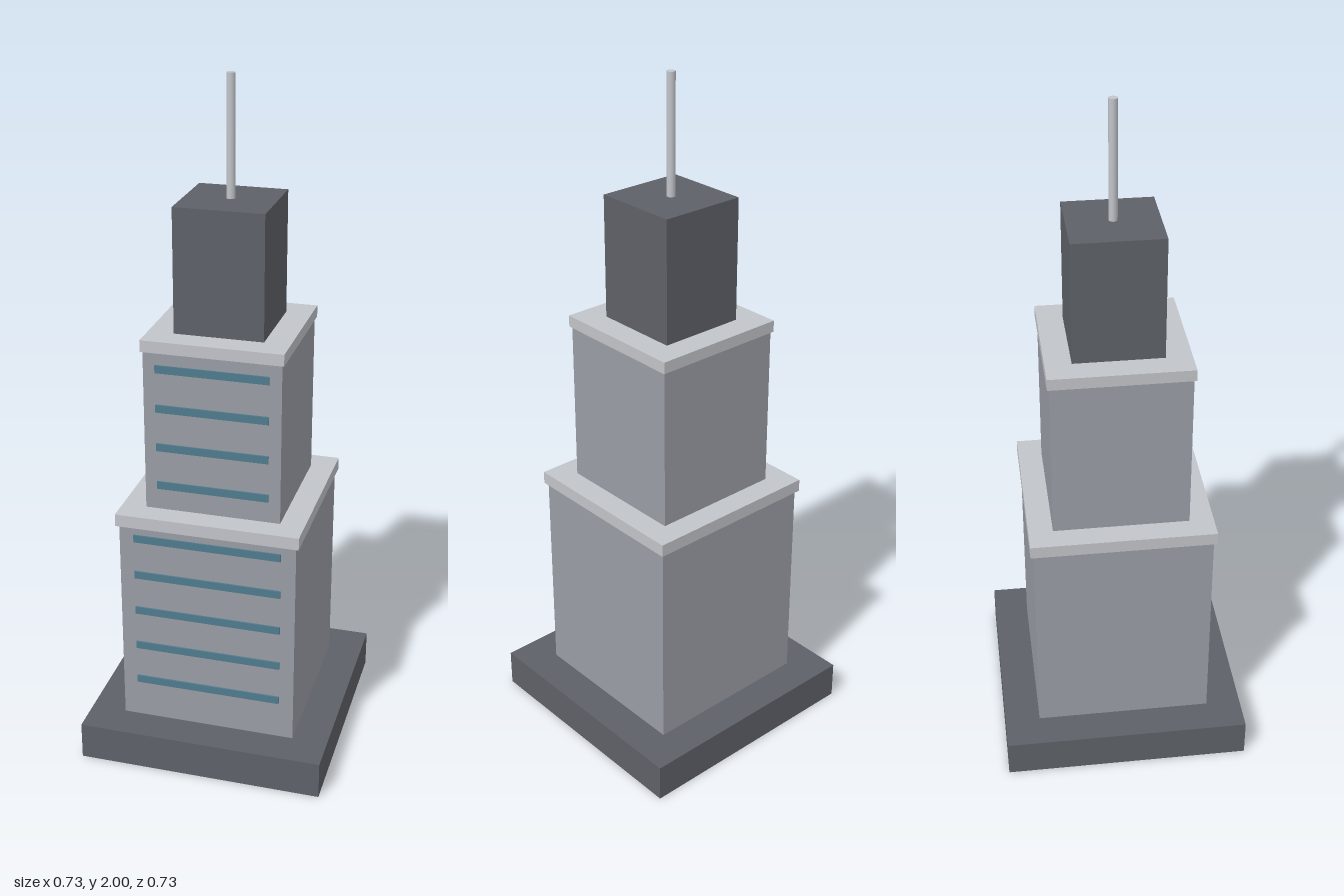
import * as THREE from 'three';

export function createModel() {
  const model = new THREE.Group();
  model.name = 'steppedTower';

  const material = (name, color) => {
    const m = new THREE.MeshStandardMaterial({ color });
    m.name = name;
    return m;
  };
  const darkStone = material('darkStone', 0x5e6168);
  const wallGrey = material('wallGrey', 0x9a9da5);
  const paleTrim = material('paleTrim', 0xc1c4c9);
  const windowBlue = material('windowBlue', 0x4f7b8d);

  const add = (name, geometry, mat, y, z = 0) => {
    const mesh = new THREE.Mesh(geometry, mat);
    mesh.name = name;
    mesh.position.set(0, y, z);
    model.add(mesh);
  };

  // Square block centred on the axis, spanning y0 to y1
  const block = (name, half, y0, y1, mat) =>
    add(name, new THREE.BoxGeometry(2 * half, y1 - y0, 2 * half), mat, (y0 + y1) / 2);

  // Stacked storeys with overhanging ledges
  block('base', 0.364, 0, 0.113, darkStone);
  block('lowerTower', 0.26, 0.113, 0.75, wallGrey);
  block('lowerLedge', 0.269, 0.75, 0.787, paleTrim);
  block('upperTower', 0.198, 0.787, 1.266, wallGrey);
  block('upperLedge', 0.204, 1.266, 1.3, paleTrim);
  block('crown', 0.129, 1.3, 1.66, darkStone);

  // Window bands on the front only
  const bands = (name, count, firstY, width, frontZ) => {
    const geometry = new THREE.BoxGeometry(width, 0.023, 0.008);
    for (let i = 0; i < count; i++) {
      add(`${name}${i + 1}`, geometry, windowBlue, firstY + i * 0.1185, frontZ - 0.004);
    }
  };
  bands('lowerWindowBand', 5, 0.24, 0.434, 0.265);
  bands('upperWindowBand', 4, 0.863, 0.326, 0.203);

  // Mast
  add('mast', new THREE.CylinderGeometry(0.0125, 0.0125, 0.34, 12), paleTrim, 1.83);

  return model;
}
